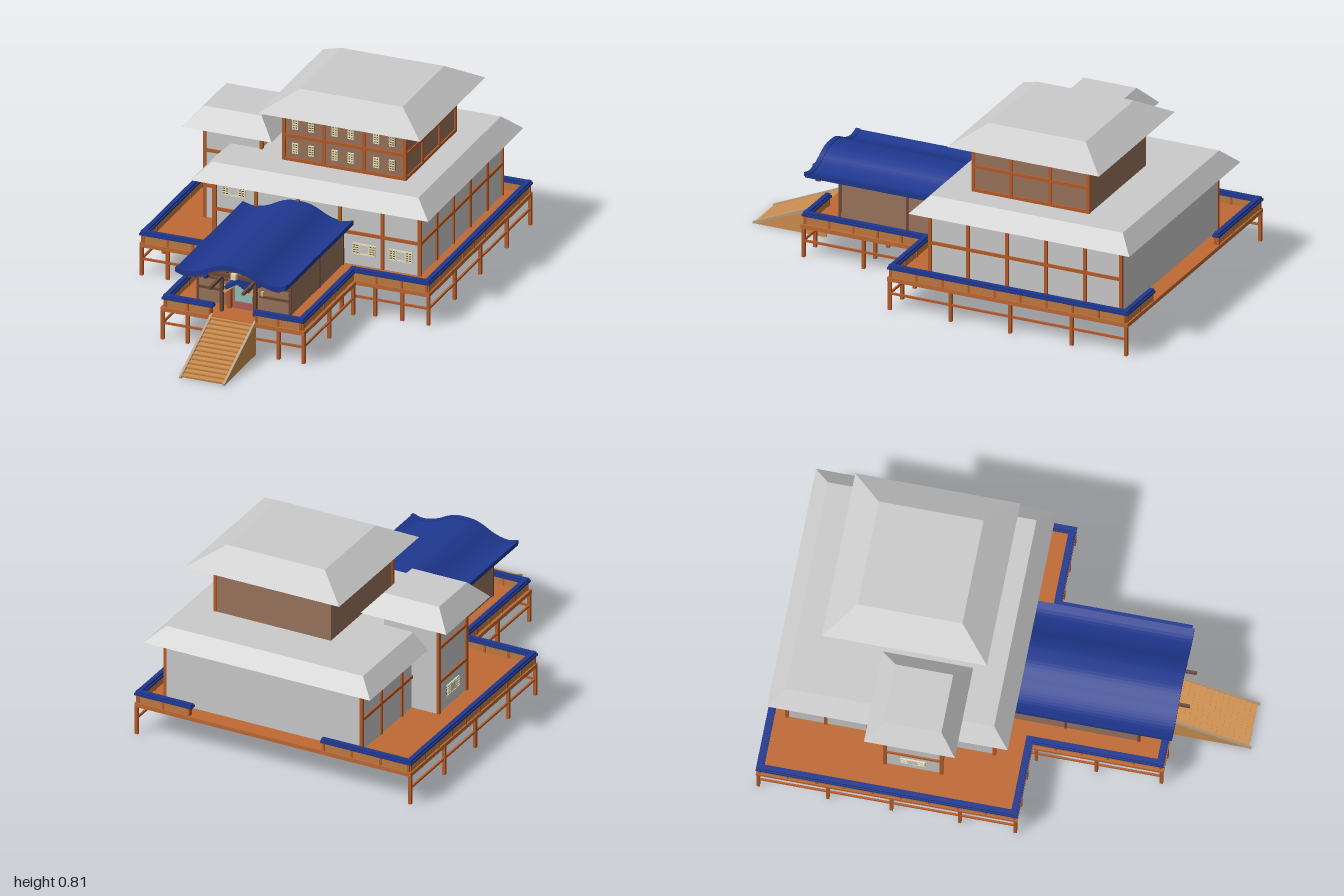
import * as THREE from 'three';

const mat = (color) => new THREE.MeshStandardMaterial({ color });
const M = {
  grey: mat(0xcccccc), wood: mat(0xb85c28), deck: mat(0xc06a34), rail: mat(0xc07c42),
  brown: mat(0x99745c), dark: mat(0x6b4a38), blue: mat(0x1f3890), stair: mat(0xcf9050),
  stringer: mat(0xb9a184), cream: mat(0xe6e0b4), teal: mat(0x8fc4c0), pink: mat(0xb0605c), gold: mat(0xd9b070),
};

// Names a mesh and adds it to its parent
function add(parent, name, geometry, material) {
  const mesh = new THREE.Mesh(geometry, material);
  mesh.name = name;
  parent.add(mesh);
  return mesh;
}

// Box given by its limits
function box(parent, name, m, x0, x1, y0, y1, z0, z1) {
  const mesh = add(parent, name, new THREE.BoxGeometry(x1 - x0, y1 - y0, z1 - z0), m);
  mesh.position.set((x0 + x1) / 2, (y0 + y1) / 2, (z0 + z1) / 2);
  return mesh;
}

function group(parent, name) {
  const g = new THREE.Group();
  g.name = name;
  parent.add(g);
  return g;
}

// Hipped roof: a box whose top is drawn in; eave and top are [x0, x1, z0, z1]
function hipRoof(parent, name, eave, top, y0, y1) {
  const geo = new THREE.BoxGeometry(1, 1, 1);
  const p = geo.attributes.position;
  for (let i = 0; i < p.count; i++) {
    const up = p.getY(i) > 0, r = up ? top : eave;
    p.setXYZ(i, r[p.getX(i) > 0 ? 1 : 0], up ? y1 : y0, r[p.getZ(i) > 0 ? 3 : 2]);
  }
  const flat = geo.toNonIndexed();
  flat.computeVertexNormals();
  add(parent, name, flat, M.grey);
}

// Posts and beams on a wall running along x (at z = at) or along z (at x = at)
function timber(parent, along, at, posts, beams, y0, y1) {
  const t = 0.007, a = Math.min(...posts), b = Math.max(...posts);
  const piece = (name, u0, u1, v0, v1) => along === 'x'
    ? box(parent, name, M.wood, u0, u1, v0, v1, at - t, at + t)
    : box(parent, name, M.wood, at - t, at + t, v0, v1, u0, u1);
  for (const p of posts) piece('wallPost', p - t, p + t, y0, y1);
  for (const y of beams) piece('wallBeam', a, b, y - t, y + t);
}

// Lattice panel in the xy plane, facing +z
function lattice(parent, x, y, z, w, h) {
  const g = group(parent, 'lattice');
  g.position.set(x, y, z);
  box(g, 'latticeBack', M.dark, -w / 2, w / 2, -h / 2, h / 2, 0, 0.003);
  for (let i = -1; i <= 1; i++) box(g, 'latticeUpright', M.cream, i * w * 0.42 - 0.002, i * w * 0.42 + 0.002, -h / 2, h / 2, 0, 0.007);
  for (let i = -2; i <= 2; i++) box(g, 'latticeSlat', M.cream, -w / 2, w / 2, i * h * 0.23 - 0.002, i * h * 0.23 + 0.002, 0, 0.007);
  return g;
}

// Wide window: a pane between two lattices
function wideWindow(parent, x, y, z) {
  const g = group(parent, 'window');
  g.position.set(x, y, z);
  box(g, 'pane', M.grey, -0.025, 0.025, -0.018, 0.018, 0, 0.006);
  for (const s of [-1, 1]) {
    lattice(g, s * 0.036, 0, 0, 0.034, 0.046);
    box(g, 'windowFrame', M.cream, -0.052, 0.052, s * 0.023 - 0.002, s * 0.023 + 0.002, 0, 0.006);
  }
  return g;
}

// Parapet with a blue coping between two points
function parapet(parent, x0, z0, x1, z1) {
  const g = group(parent, 'parapet');
  const dx = x1 - x0, dz = z1 - z0, len = Math.hypot(dx, dz);
  g.position.set((x0 + x1) / 2, 0, (z0 + z1) / 2);
  g.rotation.y = Math.atan2(-dz, dx);
  const h = len / 2;
  box(g, 'parapetWall', M.rail, -h, h, 0.14, 0.185, -0.008, 0.008);
  box(g, 'parapetFoot', M.wood, -h, h, 0.138, 0.146, -0.012, 0.012);
  box(g, 'coping', M.blue, -h - 0.015, h + 0.015, 0.184, 0.193, -0.016, 0.016);
  box(g, 'copingRidge', M.blue, -h - 0.012, h + 0.012, 0.193, 0.202, -0.01, 0.01);
  const n = Math.max(1, Math.round(len / 0.12));
  for (let i = 0; i <= n; i++) {
    const u = -h + (len * i) / n;
    box(g, 'parapetPost', M.wood, u - 0.005, u + 0.005, 0.14, 0.185, -0.011, 0.011);
  }
}

// Curved gable outline, from left to right, lowered by d
function gableCurve(d, halfWidth = 0.25) {
  const half = [[0, 0.395], [0.045, 0.392], [0.085, 0.378], [0.125, 0.357], [0.165, 0.343], [0.205, 0.338], [0.25, 0.349]]
    .filter((q) => q[0] <= halfWidth);
  const pts = [...half.slice(1).reverse().map(([x, y]) => [-x, y]), ...half];
  return new THREE.CatmullRomCurve3(pts.map(([x, y]) => new THREE.Vector3(x, y - d, 0)))
    .getPoints(36).map((v) => new THREE.Vector2(v.x, v.y));
}
function curvedSlab(parent, name, m, top, bottom, halfWidth, z0, z1) {
  const shape = new THREE.Shape([...gableCurve(top, halfWidth), ...gableCurve(bottom, halfWidth).reverse()]);
  const geo = new THREE.ExtrudeGeometry(shape, { depth: z1 - z0, bevelEnabled: false });
  add(parent, name, geo.translate(0, 0, z0), m);
}

function buildDeck(root) {
  const g = group(root, 'deck');
  box(g, 'mainFloor', M.deck, -0.655, 0.655, 0.13, 0.148, -0.995, 0.115);
  box(g, 'frontFloor', M.deck, -0.325, 0.325, 0.13, 0.148, 0.115, 0.672);
  for (const s of [-1, 1]) {
    parapet(g, s * 0.64, -0.98, s * 0.64, 0.1);
    parapet(g, s * 0.64, 0.1, s * 0.305, 0.1);
    parapet(g, s * 0.305, 0.1, s * 0.305, 0.655);
    parapet(g, s * 0.305, 0.655, s * 0.105, 0.655);
  }
  parapet(g, -0.64, -0.98, -0.24, -0.98);
  parapet(g, 0.4, -0.98, 0.64, -0.98);

  // Stilts and their tie bars
  const stilt = (x, z) => box(g, 'stilt', M.wood, x - 0.007, x + 0.007, 0, 0.135, z - 0.007, z + 0.007);
  const tie = (x0, x1, z0, z1) => box(g, 'tieBar', M.wood, x0 - 0.004, x1 + 0.004, 0.07, 0.079, z0 - 0.004, z1 + 0.004);
  for (const s of [-1, 1]) {
    const inner = s < 0 ? [-0.13, -0.42, -0.69] : [-0.175, -0.45, -0.735];
    for (const z of [0.105, ...inner, -0.985]) stilt(s * 0.648, z);
    for (const x of [0.53, 0.407]) stilt(s * x, 0.105);
    for (const z of [0.13, 0.385, 0.662]) for (const x of [0.318, 0.205]) stilt(s * x, z);
    stilt(s * 0.255, 0.105);
    stilt(s * 0.08, 0.385);
    tie(s * 0.648, s * 0.648, -0.985, 0.105);
    tie(s > 0 ? 0.318 : -0.648, s > 0 ? 0.648 : -0.318, 0.105, 0.105);
    tie(s * 0.318, s * 0.318, 0.105, 0.662);
    tie(s > 0 ? 0.1 : -0.318, s > 0 ? 0.318 : -0.1, 0.662, 0.662);
  }
}

function buildStairs(root) {
  const g = group(root, 'stairs'), n = 14, run = 0.33 / n, rise = 0.145 / n;
  for (let i = 0; i < n; i++) {
    const z = 0.99 - i * run, y = (i + 1) * rise;
    box(g, 'tread', M.stair, -0.095, 0.095, y - 0.004, y, z - run - 0.004, z);
    box(g, 'riser', M.rail, -0.095, 0.095, y - rise, y - 0.003, z - 0.006, z - 0.003);
  }
  // Triangular sides with a sloping edge board
  const side = new THREE.Shape([[0.66, 0], [1, 0], [0.66, 0.147]].map((p) => new THREE.Vector2(...p)));
  const edge = new THREE.Shape([[0.99, 0], [1, 0], [1, 0.008], [0.66, 0.156], [0.66, 0.143]].map((p) => new THREE.Vector2(...p)));
  for (const s of [-1, 1]) {
    for (const [name, shape, t, m] of [['stairSide', side, 0.006, M.stair], ['stairEdge', edge, 0.01, M.stringer]]) {
      const geo = new THREE.ExtrudeGeometry(shape, { depth: t, bevelEnabled: false });
      add(g, name, geo.rotateY(-Math.PI / 2).translate(s * 0.098 + t / 2, 0, 0), m);
    }
  }
}

function buildHalls(root) {
  // Ground floor hall
  const hall = group(root, 'mainHall');
  box(hall, 'hallWalls', M.grey, -0.38, 0.55, 0.145, 0.44, -0.92, -0.035);
  const bays = [-0.035, -0.21, -0.39, -0.57, -0.75, -0.915];
  timber(hall, 'x', -0.035, [-0.375, -0.19, 0, 0.19, 0.382, 0.55], [0.295, 0.435], 0.145, 0.44);
  for (const x of [-0.38, 0.55]) timber(hall, 'z', x, bays, [0.295, 0.435], 0.145, 0.44);
  wideWindow(hall, -0.29, 0.39, -0.034);
  for (const x of [0.3, 0.465]) wideWindow(hall, x, 0.225, -0.034);
  hipRoof(hall, 'hallRoof', [-0.457, 0.617, -0.985, 0.035], [-0.388, 0.543, -0.92, -0.035], 0.437, 0.505);

  // Upper hall
  const upper = group(root, 'upperHall');
  box(upper, 'upperWalls', M.brown, -0.122, 0.425, 0.5, 0.735, -0.71, -0.175);
  timber(upper, 'x', -0.175, [-0.122, 0.058, 0.24, 0.425], [0.512, 0.62, 0.728], 0.5, 0.735);
  timber(upper, 'z', 0.425, [-0.175, -0.35, -0.53, -0.705], [0.512, 0.62, 0.728], 0.5, 0.735);
  for (const y of [0.565, 0.675])
    for (const x of [-0.07, 0.003, 0.108, 0.181, 0.296, 0.367]) lattice(upper, x, y, -0.174, 0.027, 0.046);
  hipRoof(upper, 'upperRoof', [-0.21, 0.523, -0.8, -0.1], [-0.075, 0.39, -0.675, -0.23], 0.73, 0.812);

  // Side tower
  const tower = group(root, 'tower');
  box(tower, 'towerWalls', M.grey, -0.505, -0.25, 0.145, 0.58, -0.48, -0.235);
  timber(tower, 'x', -0.235, [-0.505, -0.25], [0.295, 0.457, 0.572], 0.145, 0.58);
  timber(tower, 'z', -0.505, [-0.235, -0.475], [0.295, 0.457, 0.572], 0.145, 0.58);
  wideWindow(tower, -0.506, 0.225, -0.357).rotation.y = -Math.PI / 2;
  hipRoof(tower, 'towerRoof', [-0.582, -0.175, -0.55, -0.165], [-0.51, -0.25, -0.48, -0.235], 0.575, 0.656);
}

function buildEntrance(root) {
  const g = group(root, 'entranceHall');
  // Body with a curved gable top
  const outline = new THREE.Shape([new THREE.Vector2(-0.21, 0.145), ...gableCurve(0.016, 0.21), new THREE.Vector2(0.21, 0.145)]);
  const body = new THREE.ExtrudeGeometry(outline, { depth: 0.58, bevelEnabled: false });
  add(g, 'entranceWalls', body.translate(0, 0, -0.035), M.brown);
  curvedSlab(g, 'curvedRoof', M.blue, 0, 0.02, 0.25, -0.035, 0.688);
  curvedSlab(g, 'roofLip', M.blue, -0.004, 0.014, 0.25, 0.67, 0.692);
  curvedSlab(g, 'bargeboard', M.dark, 0.019, 0.038, 0.21, 0.64, 0.66);
  for (const s of [-1, 1]) {
    for (const z of [0.54, 0.23, -0.02]) box(g, 'cornerPost', M.dark, s * 0.208 - 0.005, s * 0.208 + 0.005, 0.145, 0.325, z, z + 0.01);
    box(g, 'porchPost', M.dark, s * 0.075 - 0.007, s * 0.075 + 0.007, 0.145, 0.31, 0.6, 0.614);
    box(g, 'doorPost', M.wood, s * 0.058 - 0.009, s * 0.058 + 0.009, 0.145, 0.262, 0.555, 0.573);
    box(g, 'bracketArm', M.dark, s * 0.075 - 0.006, s * 0.075 + 0.006, 0.298, 0.312, 0.545, 0.735);
    box(g, 'lamp', M.gold, s * 0.088 - 0.006, s * 0.088 + 0.006, 0.225, 0.243, 0.55, 0.565);
    // Small gable above the door
    const slope = box(g, 'doorGable', M.blue, -0.034, 0.034, -0.008, 0.008, 0.55, 0.62);
    slope.position.set(s * 0.026, 0.279, 0.585);
    slope.rotation.z = -s * 0.55;
    const rafter = box(g, 'doorRafter', M.gold, -0.03, 0.03, -0.006, 0.006, 0.55, 0.61);
    rafter.position.set(s * 0.042, 0.257, 0.58);
    rafter.rotation.z = -s * 0.7;
    for (const x of [0.12, 0.165, 0.21]) box(g, 'rafterEnd', M.blue, s * x - 0.006, s * x + 0.006, 0.318, 0.332, 0.56, 0.68);
  }
  for (const y of [0.215, 0.265, 0.315]) for (const s of [-1, 1])
    box(g, 'wallRail', M.dark, s * 0.14 - 0.068, s * 0.14 + 0.068, y - 0.005, y + 0.005, 0.543, 0.552);
  box(g, 'crossBeam', M.dark, -0.125, 0.125, 0.308, 0.322, 0.6, 0.618);
  box(g, 'gablePlaque', M.cream, -0.012, 0.012, 0.325, 0.35, 0.645, 0.664);
  box(g, 'doorGlass', M.teal, -0.038, 0.038, 0.178, 0.258, 0.545, 0.552);
  box(g, 'doorStep', M.pink, -0.045, 0.045, 0.147, 0.178, 0.545, 0.56);
}

export function createModel() {
  const root = new THREE.Group();
  root.name = 'raisedTimberHouse';
  buildDeck(root);
  buildStairs(root);
  buildHalls(root);
  buildEntrance(root);
  return root;
}
